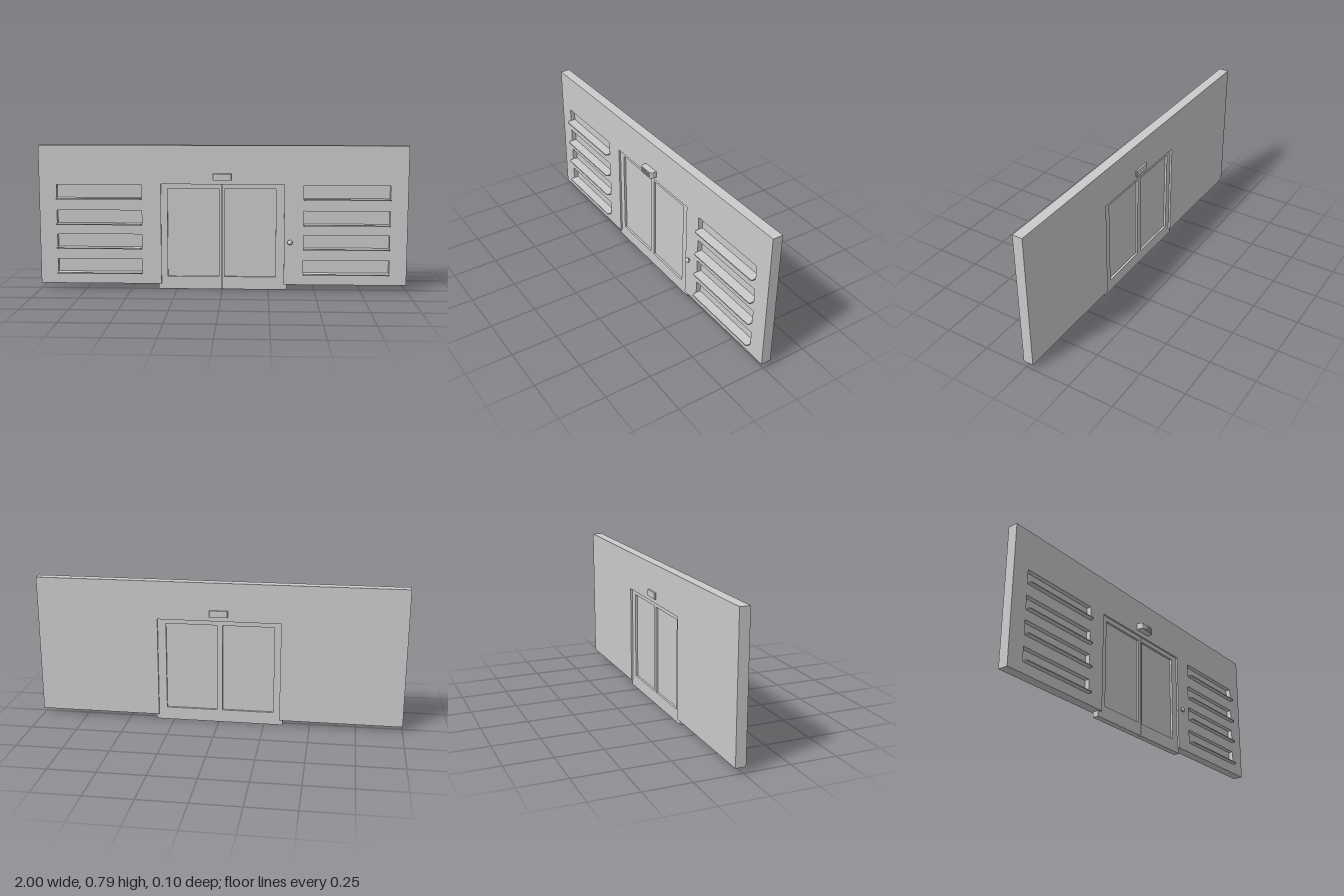
import * as THREE from 'three';

const material = new THREE.MeshStandardMaterial({ color: 0xcccccc });
const Z_FRONT = 0.014, Z_BACK = -0.041;

function add(parent, geometry, name, x = 0, y = 0, z = 0) {
  const mesh = new THREE.Mesh(geometry, material);
  mesh.name = name;
  mesh.position.set(x, y, z);
  parent.add(mesh);
  return mesh;
}

function polygon(points, Type = THREE.Shape) {
  return new Type(points.map(([x, y]) => new THREE.Vector2(x, y)));
}

const rect = (x0, y0, x1, y1) => [[x0, y0], [x1, y0], [x1, y1], [x0, y1]];

// Flat outline with rectangular holes, extruded from z0 to z1
function slab(outline, holes, z0, z1) {
  const shape = polygon(outline);
  shape.holes = holes.map((h) => polygon(h.slice().reverse(), THREE.Path));
  const geometry = new THREE.ExtrudeGeometry(shape, { depth: z1 - z0, bevelEnabled: false });
  return geometry.translate(0, 0, z0);
}

// Plan outline (x, z) extruded upwards from y0 to y1
function plan(points, y0, y1) {
  const geometry = slab(points.map(([x, z]) => [x, -z]).reverse(), [], 0, y1 - y0);
  return geometry.rotateX(-Math.PI / 2).translate(0, y0, 0);
}

export function createModel() {
  const model = new THREE.Group();
  model.name = 'slidingDoorWall';

  // Wall with a doorway and four niches on each side
  const shelfHeights = [0.09, 0.228, 0.36, 0.5];
  const nicheLeft = 0.44, nicheRight = 0.905, nicheHeight = 0.076, nicheBack = -0.012;
  const niches = [];
  for (const side of [-1, 1]) {
    const x0 = side > 0 ? nicheLeft : -nicheRight;
    for (const y of shelfHeights) niches.push([x0, y, x0 + nicheRight - nicheLeft, y + nicheHeight]);
  }
  const wallOutline = [
    [-1, 0.03], [-0.335, 0.03], [-0.335, 0.58], [0.335, 0.58],
    [0.335, 0.03], [1, 0.03], [1, 0.79], [-1, 0.79],
  ];
  add(model, slab(wallOutline, niches.map((n) => rect(...n)), Z_BACK, Z_FRONT), 'wall');

  // Niche backs and the thin shelves that stick out of them
  for (const [x0, y0, x1, y1] of niches) {
    const width = x1 - x0, x = (x0 + x1) / 2;
    add(model, slab(rect(x0, y0, x1, y1), [], Z_BACK, nicheBack), 'nicheBack');
    const c = 0.006, zf = 0.04;
    const edge = [
      [-width / 2, nicheBack], [width / 2, nicheBack], [width / 2, zf - c],
      [width / 2 - c, zf], [-width / 2 + c, zf], [-width / 2, zf - c],
    ];
    add(model, plan(edge, -0.003, 0.003), 'shelf', x, y0);
  }

  // Two framed door leaves, slid slightly into the wall at the sides
  const doorFront = 0.004, doorBack = -0.03;
  const leaves = [
    { name: 'rightDoor', x0: -0.352, x1: -0.005, p0: -0.3, p1: -0.02 },
    { name: 'leftDoor', x0: -0.001, x1: 0.35, p0: 0.01, p1: 0.29 },
  ];
  for (const { name, x0, x1, p0, p1 } of leaves) {
    const door = new THREE.Group();
    door.name = name;
    const opening = rect(p0, 0.07, p1, 0.555);
    add(door, slab(rect(x0, 0, x1, 0.58), [opening], doorBack, doorFront), 'doorFrame');
    add(door, slab(opening, [], -0.018, -0.008), 'doorPane');
    model.add(door);
  }
  add(model, slab(rect(-0.005, 0, -0.001, 0.58), [], doorBack, -0.006), 'doorSeal');

  // Motion sensors above the doorway, one on each face
  const sensor = new THREE.Group();
  sensor.name = 'motionSensor';
  const housing = [
    [-0.05, Z_FRONT], [0.05, Z_FRONT], [0.05, 0.037], [0.046, 0.045],
    [0.039, 0.049], [-0.039, 0.049], [-0.046, 0.045], [-0.05, 0.037],
  ];
  add(sensor, plan(housing, 0.605, 0.64), 'sensorHousing');
  for (let i = 0; i < 6; i++) {
    add(sensor, new THREE.BoxGeometry(0.006, 0.024, 0.004), 'sensorRib', -0.035 + i * 0.014, 0.622, 0.05);
  }
  const rear = [
    [-0.05, Z_BACK], [-0.05, -0.047], [-0.046, -0.051], [0.046, -0.051], [0.05, -0.047], [0.05, Z_BACK],
  ];
  add(sensor, plan(rear, 0.605, 0.64), 'rearSensor');
  model.add(sensor);

  // Domed push button beside the door
  const profile = [[0, 0], [0.008, 0], [0.008, 0.008], [0.014, 0.008]];
  for (let i = 1; i <= 8; i++) {
    const a = (i / 8) * Math.PI / 2;
    profile.push([0.014 * Math.cos(a), 0.008 + 0.014 * Math.sin(a)]);
  }
  const button = new THREE.LatheGeometry(profile.map(([r, y]) => new THREE.Vector2(Math.max(r, 0), y)), 24);
  add(model, button.rotateX(Math.PI / 2), 'doorButton', 0.367, 0.265, Z_FRONT);

  return model;
}
